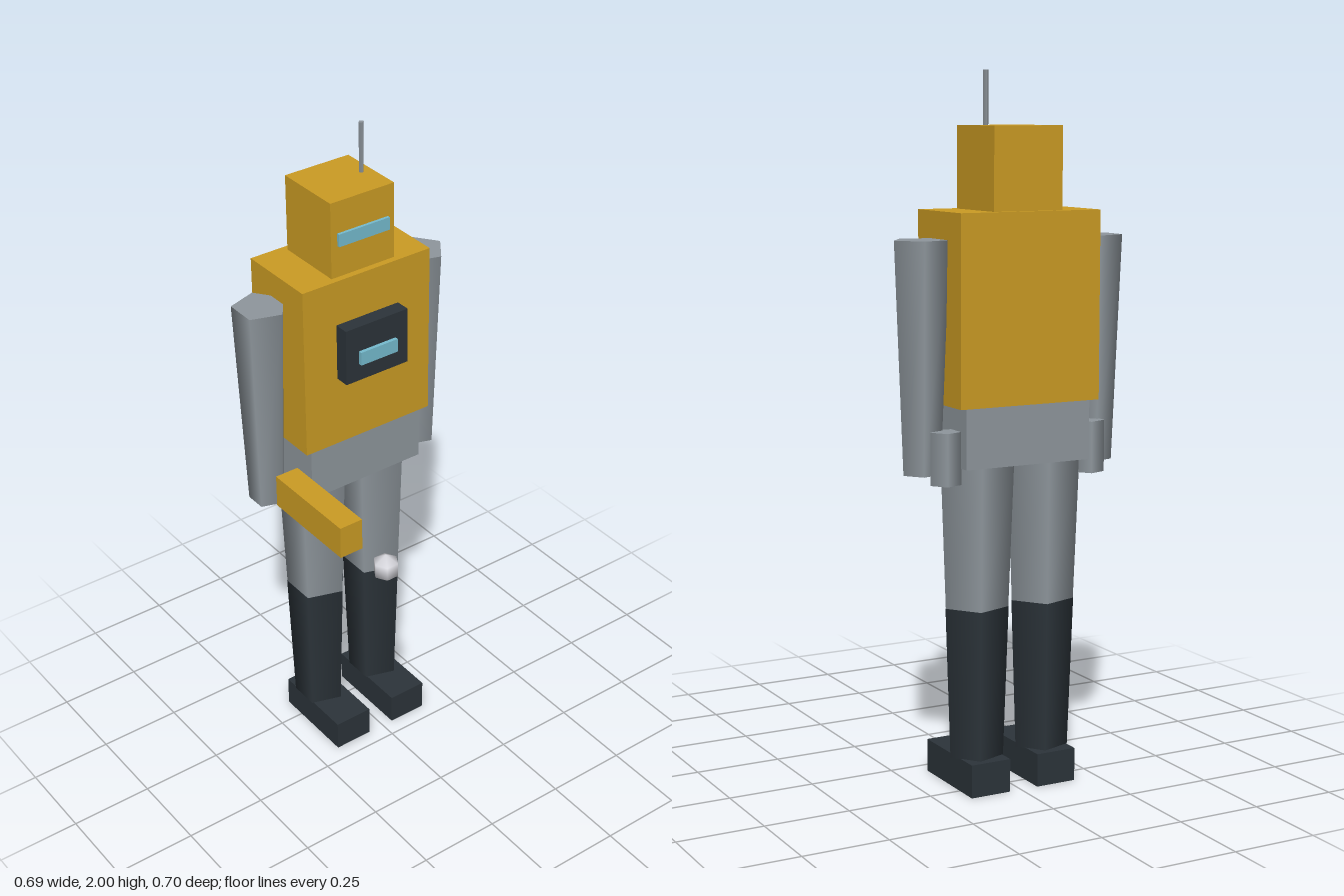
import * as THREE from 'three';

const mat = (name, color) => {
  const m = new THREE.MeshStandardMaterial({ color });
  m.name = name;
  return m;
};

export function createModel() {
  const yellow = mat('yellow paint', 0xcc9c24);
  const grey = mat('grey metal', 0x8f979d);
  const dark = mat('dark metal', 0x2c343a);
  const cyan = mat('cyan glass', 0x76bccf);
  const pearl = mat('pearl', 0xdcdce2);

  const model = new THREE.Group();
  model.name = 'robot';

  // The body stands slightly off the origin, behind the held-out blaster
  const body = new THREE.Group();
  body.name = 'body';
  body.position.set(-0.0085, 0, -0.228);
  model.add(body);

  const add = (parent, name, geometry, material) => {
    const mesh = new THREE.Mesh(geometry, material);
    mesh.name = name;
    parent.add(mesh);
    return mesh;
  };
  // Box from its lower and upper limits on each axis
  const box = (parent, name, material, [x0, x1], [y0, y1], [z0, z1]) =>
    add(parent, name, new THREE.BoxGeometry(x1 - x0, y1 - y0, z1 - z0), material)
      .position.set((x0 + x1) / 2, (y0 + y1) / 2, (z0 + z1) / 2);
  // Upright tapered five-sided limb with one corner towards +x
  const limb = (name, material, x, z, [y0, y1], rBottom, rTop) => {
    const geometry = new THREE.CylinderGeometry(rTop, rBottom, y1 - y0, 5);
    geometry.rotateY(Math.PI / 2);
    add(body, name, geometry, material).position.set(x, (y0 + y1) / 2, z);
  };

  // Torso, waist and head
  box(body, 'torso', yellow, [-0.216, 0.216], [1.1, 1.624], [-0.125, 0.125]);
  box(body, 'waist', grey, [-0.193, 0.193], [0.932, 1.1], [-0.113, 0.113]);
  box(body, 'head', yellow, [-0.106, 0.106], [1.624, 1.852], [-0.106, 0.106]);
  box(body, 'visor', cyan, [-0.085, 0.085], [1.719, 1.757], [0.103, 0.115]);

  // Chest unit with its screen
  box(body, 'chestPanel', dark, [-0.106, 0.106], [1.316, 1.488], [0.12, 0.169]);
  box(body, 'chestScreen', cyan, [-0.063, 0.063], [1.37, 1.411], [0.17, 0.181]);

  // Antenna
  add(body, 'antenna', new THREE.CylinderGeometry(0.008, 0.008, 0.15, 4), grey)
    .position.set(0.074, 1.925, 0);

  // Arms, hip canisters, legs and feet
  for (const [side, s] of [['left', 1], ['right', -1]]) {
    limb(side + 'Arm', grey, s * 0.273, 0, [0.911, 1.549], 0.054, 0.079);
    limb(side + 'HipCanister', grey, s * 0.227, -0.053, [0.887, 1.033], 0.045, 0.045);
    limb(side + 'Thigh', grey, s * 0.105, 0, [0.525, 0.932], 0.093, 0.108);
    limb(side + 'Shin', dark, s * 0.105, 0, [0.093, 0.525], 0.079, 0.094);
    box(body, side + 'Foot', dark, [s * 0.105 - 0.061, s * 0.105 + 0.061], [0, 0.095], [-0.094, 0.178]);
  }

  // Blaster in the right hand, with a shot in front of it
  box(model, 'blaster', yellow, [-0.299, -0.225], [0.931, 1.031], [-0.153, 0.161]);
  add(model, 'shot', new THREE.SphereGeometry(0.041, 6, 3), pearl).position.set(-0.262, 0.981, 0.321);

  return model;
}
